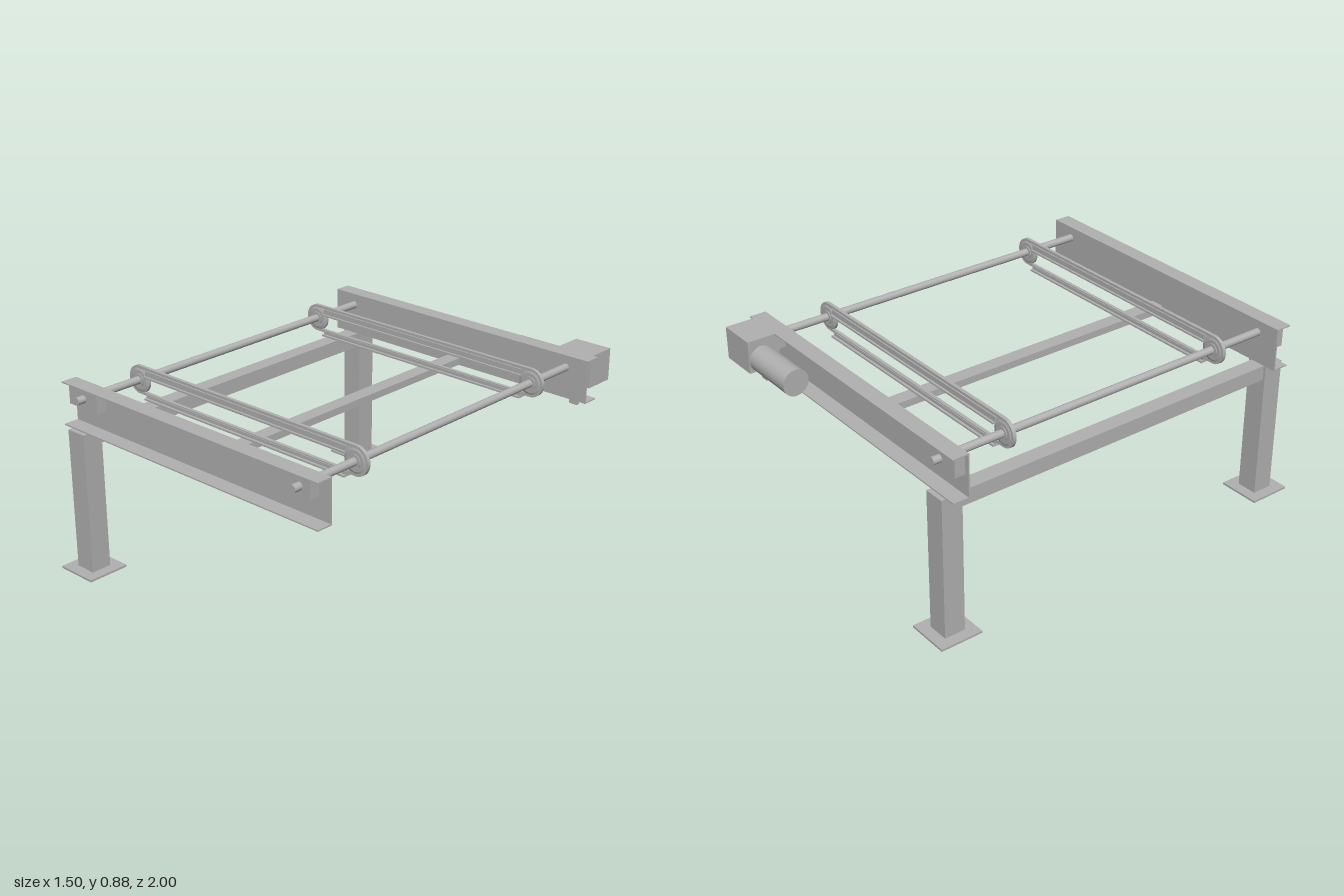
import * as THREE from 'three';

export function createModel() {
  const model = new THREE.Group();
  const steel = new THREE.MeshStandardMaterial({ color: 0xb0b0b0 });
  steel.name = 'grey steel';

  const add = (name, geo) => {
    const mesh = new THREE.Mesh(geo, steel);
    mesh.name = name;
    model.add(mesh);
    return mesh;
  };
  // Box given by its limits on each axis
  const box = (name, x0, x1, y0, y1, z0, z1) => {
    const [za, zb] = [Math.min(z0, z1), Math.max(z0, z1)];
    const m = add(name, new THREE.BoxGeometry(x1 - x0, y1 - y0, zb - za));
    m.position.set((x0 + x1) / 2, (y0 + y1) / 2, (za + zb) / 2);
    return m;
  };
  // Cylinder along z
  const rod = (name, r, x, y, z0, z1, sides = 32) => {
    const geo = new THREE.CylinderGeometry(r, r, z1 - z0, sides).rotateX(Math.PI / 2);
    add(name, geo).position.set(x, y, (z0 + z1) / 2);
  };

  const midZ = 0.03, half = 0.82, shaftX = 0.635, shaftY = 0.81;

  // Side frames, mirrored front to back; channels open outward
  for (const s of [1, -1]) {
    const z = (d) => midZ + s * (half + d);
    box('railWeb', -0.75, 0.75, 0.665, 0.865, z(0), z(0.006));
    box('railTopFlange', -0.75, 0.75, 0.859, 0.865, z(0.006), z(0.077));
    box('railBottomFlange', -0.75, 0.75, 0.665, 0.671, z(0.006), z(0.077));
    box('leg', -0.7, -0.6, 0.01, 0.665, z(0), z(0.098));
    box('footPlate', -0.75, -0.55, 0, 0.01, z(-0.05), z(0.15));
    box('takeUpBearing', -0.73, -0.55, 0.765, 0.855, z(0.006), z(0.056));
    box('driveBearing', 0.58, 0.69, 0.765, 0.855, z(0.006), z(0.056));
  }
  box('sensorBlock', 0.415, 0.45, 0.825, 0.859, 0.856, 0.89);

  // Cross members
  box('legCrossBeam', -0.69, -0.615, 0.595, 0.665, midZ - half, midZ + half);
  box('middleCrossBeam', -0.035, 0.035, 0.667, 0.7, midZ - half, midZ + half);

  // Shafts
  rod('idlerShaft', 0.0175, -shaftX, shaftY, -0.885, 0.945);
  rod('driveShaft', 0.0175, shaftX, shaftY, -0.87, 0.945);

  // Chain loop outline: two straights joined by half circles
  const loop = (path, r) => {
    path.absarc(shaftX, 0, r, -Math.PI / 2, Math.PI / 2, false);
    path.absarc(-shaftX, 0, r, Math.PI / 2, Math.PI * 1.5, false);
    path.closePath();
    return path;
  };
  const chainShape = loop(new THREE.Shape(), 0.065);
  chainShape.holes.push(loop(new THREE.Path(), 0.053));

  // Sprocket profile, thinner toward its rim
  const sprocketProfile = [
    [0, -0.015], [0.03, -0.015], [0.03, -0.011], [0.045, -0.011], [0.06, -0.006],
    [0.06, 0.006], [0.045, 0.011], [0.03, 0.011], [0.03, 0.015], [0, 0.015],
  ].map(([r, y]) => new THREE.Vector2(r, y));

  for (const z of [-0.535, 0.588]) {
    const chain = new THREE.ExtrudeGeometry(chainShape, {
      depth: 0.016, bevelEnabled: false, curveSegments: 20,
    });
    add('chain', chain).position.set(0, shaftY, z - 0.008);
    for (const x of [-shaftX, shaftX]) {
      const geo = new THREE.LatheGeometry(sprocketProfile, 32).rotateX(Math.PI / 2).toNonIndexed();
      geo.computeVertexNormals();
      add('sprocket', geo).position.set(x, shaftY, z);
    }
    // Guides carrying the upper and lower strands
    box('upperGuidePlate', -0.59, 0.59, 0.832, 0.84, z - 0.024, z + 0.024);
    box('upperGuideRib', -0.59, 0.59, 0.84, 0.863, z - 0.014, z + 0.014);
    box('lowerGuidePlate', -0.59, 0.59, 0.73, 0.738, z - 0.024, z + 0.024);
    box('lowerGuideRib', -0.59, 0.59, 0.738, 0.752, z - 0.012, z + 0.012);
  }

  // Gear motor with its torque bracket
  box('gearbox', 0.54, 0.725, 0.715, 0.865, -1, -0.85);
  const motor = add('motor', new THREE.CylinderGeometry(0.061, 0.061, 0.275, 40).rotateZ(Math.PI / 2));
  motor.position.set(0.4025, 0.77, -0.935);
  box('torqueBracket', 0.612, 0.655, 0.61, 0.72, -0.885, -0.868);

  return model;
}
